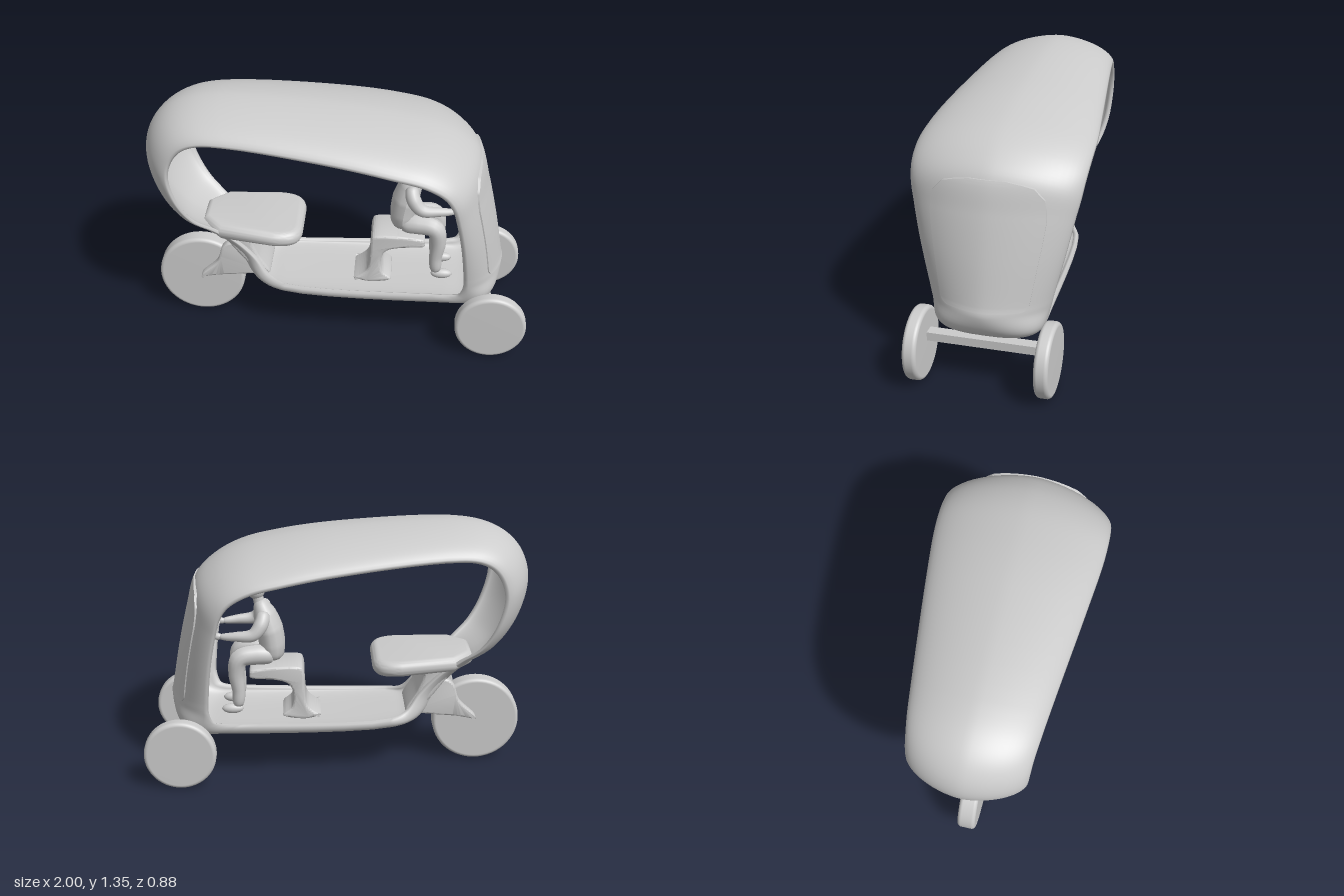
import * as THREE from 'three';
import { toCreasedNormals } from 'three/addons/utils/BufferGeometryUtils.js';

const mat = new THREE.MeshStandardMaterial({ color: 0xcccccc, side: THREE.DoubleSide });
const V = (x, y, z = 0) => new THREE.Vector3(x, y, z);
const { lerp, smoothstep, clamp } = THREE.MathUtils;

// Crest line of the shell, clockwise from the back: x, y, half width
const crestPoints = [
  [-1, 1.05, .3], [-.97, 1.17, .305], [-.9, 1.26, .31], [-.79, 1.32, .32], [-.6, 1.35, .34], [0, 1.315, .405],
  [.3, 1.27, .435], [.5, 1.22, .44], [.63, 1.155, .435], [.72, 1.07, .425], [.77, .9, .405], [.82, .68, .365],
  [.86, .46, .315], [.872, .4, .3], [.835, .3, .283], [.75, .245, .275], [.6, .235, .27], [-.3, .25, .23],
  [-.44, .285, .185], [-.53, .38, .15], [-.62, .5, .155], [-.72, .6, .2], [-.86, .71, .25], [-.96, .87, .285],
];
// Rim of the side opening at the same stations: x, y
const rimPoints = [
  [-.85, 1], [-.83, 1.1], [-.78, 1.17], [-.7, 1.21], [-.53, 1.22], [0, 1.175],
  [.28, 1.13], [.44, 1.09], [.54, 1.03], [.585, .96], [.61, .87], [.645, .68],
  [.667, .47], [.668, .4], [.645, .34], [.6, .325], [.5, .32], [-.28, .32],
  [-.37, .345], [-.44, .43], [-.54, .54], [-.65, .64], [-.74, .72], [-.81, .84],
];
const crest = new THREE.CatmullRomCurve3(crestPoints.map(p => V(...p)), true);
const rim = new THREE.CatmullRomCurve3(rimPoints.map(p => V(...p)), true);
// Cross-section exponent: pointed roof, boxier floor
const fullness = y => lerp(3, 1.7, smoothstep(y, .26, .42));

// Grid of points to a smooth surface
function grid(rows, closed) {
  const n = rows.length, m = rows[0].length, pos = rows.flat().flatMap(p => p.toArray()), idx = [];
  const e = closed ? 0 : 1;
  for (let i = 0; i < n - e; i++) for (let j = 0; j < m - e; j++) {
    const i2 = (i + 1) % n, j2 = (j + 1) % m;
    const a = i * m + j, b = i * m + j2, c = i2 * m + j, d = i2 * m + j2;
    idx.push(a, b, c, b, d, c);
  }
  const g = new THREE.BufferGeometry();
  g.setAttribute('position', new THREE.Float32BufferAttribute(pos, 3));
  g.setIndex(idx);
  g.computeVertexNormals();
  return g;
}

// Superelliptic outer arc, rounded rim and inner arc at each station; the floor is thicker
function shellGeometry() {
  const N = 144, A = 28, rows = [];
  for (let i = 0; i < N; i++) {
    const o = crest.getPoint(i / N), e = rim.getPoint(i / N), row = [];
    const len = o.clone().setZ(0).distanceTo(e), lip = .01 / len, pow = 2 / fullness(o.y);
    const wall = (.03 + .022 * (1 - smoothstep(o.y, .27, .45))) / len;
    const at = (f, z) => row.push(V(lerp(o.x, e.x, f), lerp(o.y, e.y, f), z));
    const arc = (j, depth, half) => {
      const a = (j / A - .5) * Math.PI, s = Math.sin(a);
      at(1 - depth * Math.max(Math.cos(a), 0) ** pow, half * Math.sign(s) * Math.abs(s) ** pow);
    };
    for (let j = 0; j <= A; j++) arc(j, 1, o.z);
    at(1 + lip, o.z - .012);
    for (let j = A; j >= 0; j--) arc(j, 1 - wall, o.z - .026);
    at(1 + lip, -o.z + .012);
    rows.push(row);
  }
  return grid(rows, true);
}

// Windscreen panel following the nose, slightly proud of the shell with a crisp step around it
function screenGeometry() {
  const outline = [[.43, .18], [.437, .205], [.46, .222], [.6, .245], [.75, .27], [.87, .286], [.93, .284],
    [.975, .275], [1.03, .225], [1.045, .17], [1.06, .09]];
  const S = (outline.length - 1) * 4, M = 20, rows = [];
  for (let i = -1; i <= S + 1; i++) {
    const q = clamp(i, 0, S) / 4, k = Math.min(Math.floor(q), outline.length - 2);
    const y = lerp(outline[k][0], outline[k + 1][0], q - k), w = lerp(outline[k][1], outline[k + 1][1], q - k);
    let lo = 8 / crestPoints.length, hi = 14 / crestPoints.length;
    for (let s = 0; s < 30; s++) {
      const mid = (lo + hi) / 2;
      if (crest.getPoint(mid).y > y) lo = mid; else hi = mid;
    }
    const o = crest.getPoint(lo), e = rim.getPoint(lo), n = fullness(y), row = [];
    for (let j = -1; j <= M + 1; j++) {
      const z = w * (1 - 2 * clamp(j, 0, M) / M), edge = j < 0 || j > M || i < 0 || i > S;
      const f = 1 - (1 - Math.abs(z / o.z) ** n) ** (1 / n);
      row.push(V(lerp(o.x, e.x, f) + (edge ? -.01 : .006), y, z));
    }
    rows.push(row);
  }
  return toCreasedNormals(grid(rows, false), .6);
}

// Tube of varying radius along a smooth path
function limb(points, radii, zScale = 1) {
  const path = new THREE.CatmullRomCurve3(points.map(p => V(...p))), n = 32, m = 14;
  const g = new THREE.TubeGeometry(path, n, 1, m, false), p = g.attributes.position;
  for (let i = 0; i <= n; i++) {
    const c = path.getPointAt(i / n), u = i / n * (radii.length - 1), k = Math.min(Math.floor(u), radii.length - 2);
    const r = lerp(radii[k], radii[k + 1], u - k) * Math.sqrt(1 - Math.abs(2 * i / n - 1) ** 12);
    for (let j = 0; j <= m; j++) {
      const q = i * (m + 1) + j, v = V(0, 0).fromBufferAttribute(p, q).sub(c).multiplyScalar(r);
      p.setXYZ(q, c.x + v.x, c.y + v.y, c.z + v.z * zScale);
    }
  }
  g.computeVertexNormals();
  return g;
}

// Side profile extruded across the width with rounded edges
function slab(points, halfWidth, bevel) {
  const shape = new THREE.Shape();
  shape.moveTo(...points[0]);
  shape.splineThru([...points.slice(1), points[0]].map(p => new THREE.Vector2(...p)));
  const g = new THREE.ExtrudeGeometry(shape, { depth: 2 * (halfWidth - bevel), bevelSize: bevel, bevelOffset: -bevel,
    bevelThickness: bevel, bevelSegments: 5, curveSegments: 40 });
  return toCreasedNormals(g.translate(0, 0, bevel - halfWidth), .7);
}

// Bench with rounded plan and soft edges, rising slightly to the back
function benchGeometry() {
  const plan = new THREE.Shape();
  plan.moveTo(-.72, -.09);
  plan.lineTo(-.62, -.19);
  plan.lineTo(-.34, -.225);
  plan.bezierCurveTo(-.23, -.225, -.19, -.18, -.19, -.1);
  plan.lineTo(-.19, .1);
  plan.bezierCurveTo(-.19, .18, -.23, .225, -.34, .225);
  plan.lineTo(-.62, .19);
  plan.lineTo(-.72, .09);
  const g = new THREE.ExtrudeGeometry(plan, { depth: .004, bevelSize: .04, bevelOffset: -.04,
    bevelThickness: .04, bevelSegments: 8, curveSegments: 16 }).rotateX(-Math.PI / 2);
  const p = g.attributes.position;
  for (let i = 0; i < p.count; i++) p.setY(i, p.getY(i) + .59 - (p.getX(i) + .19) * .05);
  return toCreasedNormals(g, .7);
}

// Disc wheel with a rounded tread edge
function wheelGeometry(r, half) {
  const b = .02, pts = [];
  for (let k = 0; k <= 6; k++) {
    const a = k / 6 * Math.PI / 2;
    pts.push(new THREE.Vector2(r - b + b * Math.sin(a), -half + b * (1 - Math.cos(a))));
  }
  pts.unshift(new THREE.Vector2(0, -half));
  pts.push(...pts.map(p => new THREE.Vector2(p.x, -p.y)).reverse());
  return new THREE.LatheGeometry(pts, 56).rotateX(Math.PI / 2);
}

export function createModel() {
  const model = new THREE.Group();
  const add = (name, geo, x = 0, y = 0, z = 0, parent = model) => {
    const mesh = new THREE.Mesh(geo, mat);
    mesh.name = name;
    mesh.position.set(x, y, z);
    parent.add(mesh);
  };

  add('bodyShell', shellGeometry());
  add('windscreen', screenGeometry());

  // Wheels, axle and rear fork
  add('rearWheel', wheelGeometry(.234, .048), -.757, .24, 0);
  add('frontAxle', new THREE.BoxGeometry(.06, .045, .6), .79, .232, 0);
  for (const s of [1, -1]) {
    add(s > 0 ? 'leftFrontWheel' : 'rightFrontWheel', wheelGeometry(.187, .036), .812, .192, s * .325);
    add('rearForkArm', slab([[-.75, .265], [-.74, .295], [-.66, .375], [-.625, .47], [-.56, .5], [-.46, .42],
      [-.4, .32], [-.5, .3], [-.65, .285]], .025, .012), 0, 0, s * .083);
  }

  // Seats
  add('passengerBench', benchGeometry());
  add('benchSupport', slab([[-.64, .6], [-.44, .58], [-.46, .53], [-.43, .44], [-.37, .33], [-.46, .36],
    [-.56, .48]], .13, .02));
  add('driverSeat', slab([[.08, .3], [.15, .36], [.165, .46], [.17, .55], [.2, .58], [.32, .58], [.44, .565],
    [.455, .54], [.44, .515], [.32, .505], [.25, .48], [.225, .42], [.235, .35], [.28, .3], [.17, .28]], .11, .015));

  // Steering
  add('handlebar', limb([[.615, .765, -.13], [.63, .75, -.08], [.64, .745, 0], [.63, .75, .08], [.615, .765, .13]],
    [.009, .009]));

  // Driver
  const driver = new THREE.Group();
  driver.name = 'driver';
  model.add(driver);
  const part = (name, geo, x, y, z) => add(name, geo, x, y, z, driver);
  part('torso', limb([[.335, .59, 0], [.335, .68, 0], [.355, .79, 0], [.385, .88, 0], [.4, .93, 0]],
    [.06, .07, .072, .06, .03], 1.4));
  part('neck', limb([[.395, .89, 0], [.41, .96, 0]], [.03, .027]));
  part('head', new THREE.SphereGeometry(.05, 24, 18).scale(.95, 1.2, .85), .413, .982, 0);
  part('hair', new THREE.SphereGeometry(.053, 24, 10, 0, Math.PI * 2, 0, Math.PI / 2).scale(1, .95, .88), .41, .994, 0);
  part('nose', new THREE.SphereGeometry(.01, 10, 8), .46, .975, 0);
  for (const s of [1, -1]) {
    part('arm', limb([[.375, .885, s * .08], [.385, .83, s * .12], [.43, .775, s * .14], [.52, .765, s * .135],
      [.61, .76, s * .12]], [.036, .038, .032, .024, .016]));
    part('hand', new THREE.SphereGeometry(.02, 12, 10).scale(1.3, .9, .8), .612, .762, s * .12);
    part('leg', limb([[.32, .625, s * .045], [.42, .635, s * .06], [.505, .62, s * .075], [.525, .54, s * .075],
      [.515, .43, s * .075], [.52, .34, s * .075]], [.052, .054, .05, .042, .034, .034]));
    part('shoe', new THREE.SphereGeometry(.03, 16, 12).scale(1.9, .9, .9), .55, .335, s * .077);
  }
  return model;
}
